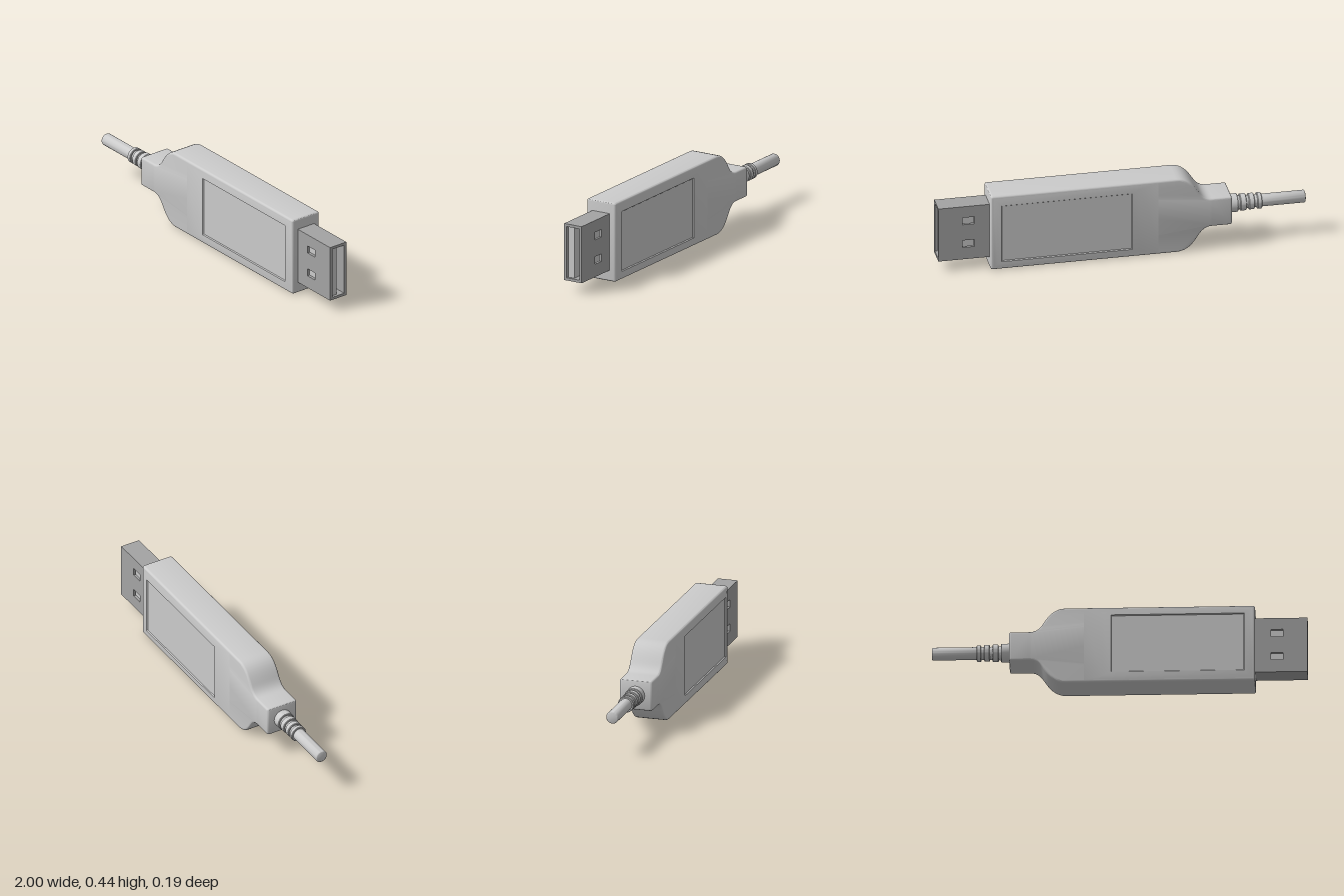
import * as THREE from 'three';
import { toCreasedNormals } from 'three/addons/utils/BufferGeometryUtils.js';

const MID = 0.22; // height of the long axis

export function createModel() {
  const model = new THREE.Group();
  const grey = new THREE.MeshStandardMaterial({ color: 0xcccccc });
  const metal = new THREE.MeshStandardMaterial({ color: 0xa4a4a4 });

  const add = (name, geometry, material = grey, parent = model) => {
    const mesh = new THREE.Mesh(geometry, material);
    mesh.name = name;
    parent.add(mesh);
    return mesh;
  };
  const rect = (x0, x1, y0, y1, Type = THREE.Shape) =>
    new Type([[x0, y0], [x1, y0], [x1, y1], [x0, y1]].map(([x, y]) => new THREE.Vector2(x, y)));
  const box = (x0, x1, y0, y1, z0, z1) =>
    new THREE.BoxGeometry(x1 - x0, y1 - y0, z1 - z0)
      .translate((x0 + x1) / 2, (y0 + y1) / 2, (z0 + z1) / 2);

  // Housing: rounded block that narrows in an S curve to a neck
  const H = 0.219, N = 0.083, r = 0.012;
  const s = new THREE.Shape();
  s.moveTo(-0.588, -N + r);
  s.quadraticCurveTo(-0.588, -N, -0.588 + r, -N);
  s.lineTo(-0.48, -N);
  s.bezierCurveTo(-0.445, -N, -0.425, -0.1, -0.405, -0.133);
  s.bezierCurveTo(-0.375, -0.18, -0.345, -H, -0.285, -H);
  s.lineTo(0.722 - r, -H);
  s.quadraticCurveTo(0.722, -H, 0.722, -H + r);
  s.lineTo(0.722, H - r);
  s.quadraticCurveTo(0.722, H, 0.722 - r, H);
  s.lineTo(-0.285, H);
  s.bezierCurveTo(-0.345, H, -0.375, 0.18, -0.405, 0.133);
  s.bezierCurveTo(-0.425, 0.1, -0.445, N, -0.48, N);
  s.lineTo(-0.588 + r, N);
  s.quadraticCurveTo(-0.588, N, -0.588, N - r);
  s.closePath();
  const housing = new THREE.ExtrudeGeometry(s, {
    depth: 0.156, bevelThickness: 0.013, bevelSize: 0.011, bevelOffset: -0.011,
    bevelSegments: 4, curveSegments: 8,
  }).translate(0, MID, -0.078);
  add('housing', toCreasedNormals(housing, 0.6));

  // Raised face: low slope up to a rim around a sunken label panel
  const rings = [
    [-0.2, 0.71, 0.012, 0.428, 0.0905],
    [-0.09, 0.685, 0.035, 0.405, 0.0955],
    [-0.045, 0.665, 0.057, 0.391, 0.0975],
    [-0.041, 0.661, 0.061, 0.387, 0.0915],
  ];
  const positions = [], index = [];
  rings.forEach(([x0, x1, y0, y1, z], k) => {
    positions.push(x0, y0, z, x1, y0, z, x1, y1, z, x0, y1, z);
    if (k === 0) return;
    for (let i = 0; i < 4; i++) {
      const a = (k - 1) * 4 + i, b = (k - 1) * 4 + (i + 1) % 4;
      index.push(a, b, b + 4, a, b + 4, a + 4);
    }
  });
  index.push(12, 13, 14, 12, 14, 15);
  const raised = new THREE.BufferGeometry();
  raised.setAttribute('position', new THREE.Float32BufferAttribute(positions, 3));
  raised.setIndex(index);
  const face = toCreasedNormals(raised, 0.4);
  add('frontLabelPanel', face);
  // Same panel on the back, turned about the vertical plane of the long axis
  const back = add('backLabelPanel', face);
  back.rotation.x = Math.PI;
  back.position.y = 2 * MID;

  // Plug: hollow metal shell with two windows on each broad side
  const plug = new THREE.Group();
  plug.name = 'plug';
  model.add(plug);
  const X0 = 0.715, X1 = 1, Y0 = 0.063, Y1 = 0.378, Z = 0.055, T = 0.015;
  const side = rect(X0, X1, Y0, Y1);
  for (const y of [0.155, 0.291]) side.holes.push(rect(0.805, 0.87, y - 0.021, y + 0.021, THREE.Path));
  for (const [name, z] of [['shellFront', Z - T], ['shellBack', -Z]]) {
    add(name, new THREE.ExtrudeGeometry(side, { depth: T, bevelEnabled: false }).translate(0, 0, z), metal, plug);
  }
  add('shellTop', box(X0, X1, Y1 - T, Y1, -Z + T, Z - T), metal, plug);
  add('shellBottom', box(X0, X1, Y0, Y0 + T, -Z + T, Z - T), metal, plug);
  add('contactTongue', box(X0, 0.985, Y0 + T, Y1 - T, 0, Z - T - 0.001), grey, plug);

  // Turned parts share one helper: [x, radius] pairs revolved about the long axis
  const turned = (pairs) => {
    const profile = pairs.map(([x, rad]) => new THREE.Vector2(rad, x));
    const g = new THREE.LatheGeometry(profile, 32).rotateZ(-Math.PI / 2).translate(0, MID, 0);
    return toCreasedNormals(g, 0.7);
  };
  // Ribbed strain relief
  const relief = [[-0.762, 0]];
  for (const [a, b, rad] of [[-0.762, -0.738, 0.044], [-0.722, -0.692, 0.044],
    [-0.678, -0.645, 0.046], [-0.632, -0.58, 0.05]]) {
    relief.push([a, rad - 0.01], [a, rad - 0.003], [a + 0.003, rad], [b - 0.003, rad], [b, rad - 0.003], [b, rad - 0.01]);
  }
  add('strainRelief', turned(relief));
  // Cable with a softened end
  add('cable', turned([[-1, 0], [-1, 0.028], [-0.998, 0.032], [-0.994, 0.034], [-0.75, 0.034]]));

  return model;
}
